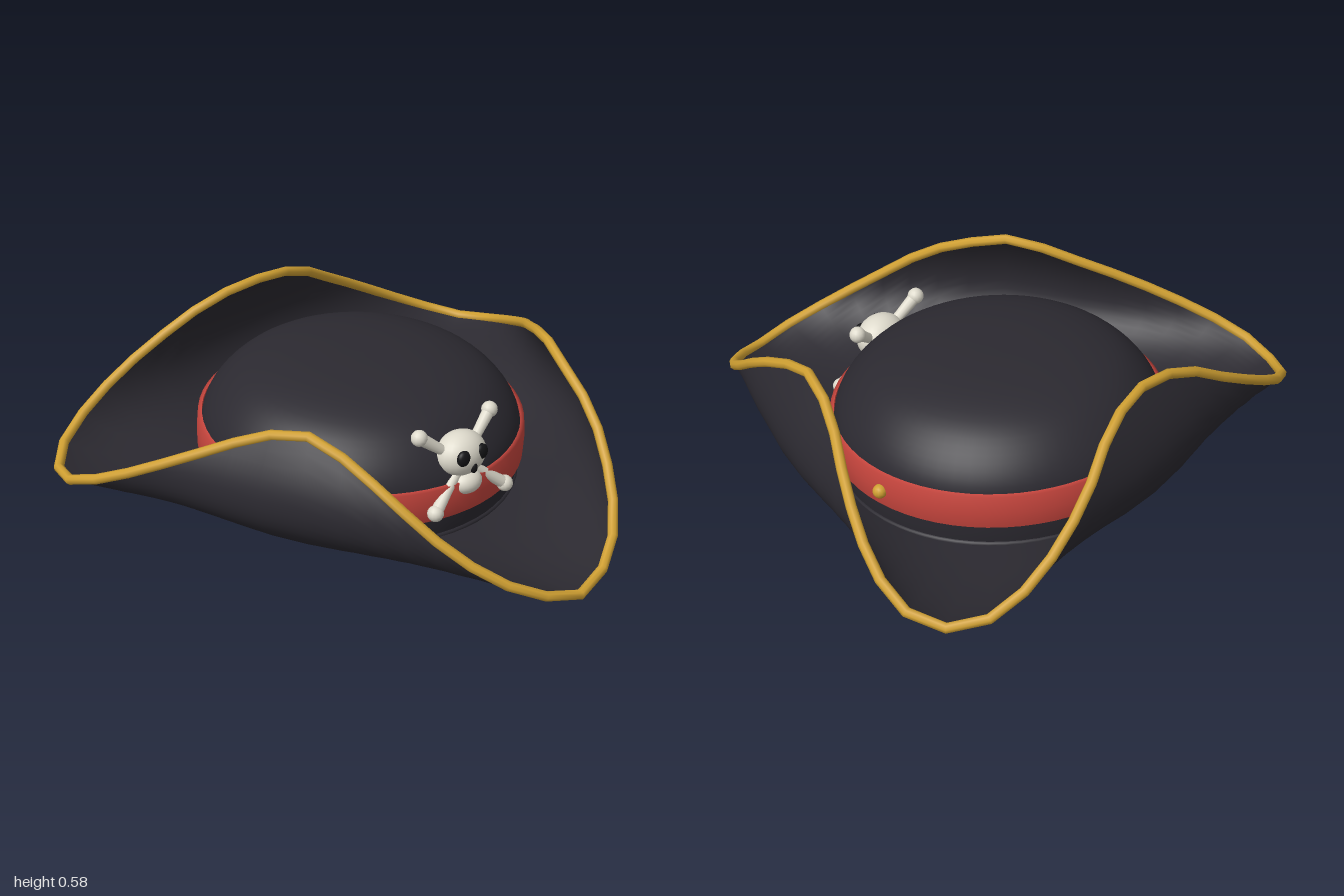
import * as THREE from 'three';

const mat = (color, side = THREE.FrontSide) =>
  new THREE.MeshStandardMaterial({ color, side });

const felt = mat(0x2b2930, THREE.DoubleSide);
const red = mat(0xc6453d, THREE.DoubleSide);
const gold = mat(0xd0a032);
const bone = mat(0xdedacc);
const black = mat(0x141416);

const CENTER_Z = -0.232, SLOPE = 0.061, RIM = 0.56;
const baseY = (z) => 0.05 - SLOPE * z; // tilted plane the hat sits on

function add(parent, name, geometry, material, x = 0, y = 0, z = 0) {
  const mesh = new THREE.Mesh(geometry, material);
  mesh.name = name;
  mesh.position.set(x, y, z);
  parent.add(mesh);
  return mesh;
}

// Closed curve of the brim edge: half of it, mirrored across x
function edgeCurve() {
  const half = [
    [0, 0.028, 0.9], [0.14, 0.065, 0.867], [0.27, 0.135, 0.78], [0.38, 0.245, 0.64],
    [0.46, 0.375, 0.47], [0.5, 0.462, 0.3], [0.555, 0.51, 0.135], [0.65, 0.455, -0.03],
    [0.8, 0.355, -0.22], [0.92, 0.257, -0.41], [0.982, 0.182, -0.59], [0.952, 0.152, -0.73],
    [0.86, 0.18, -0.84], [0.72, 0.25, -0.895], [0.56, 0.34, -0.905], [0.4, 0.43, -0.885],
    [0.2, 0.54, -0.83], [0, 0.575, -0.805],
  ].map((p) => new THREE.Vector3(...p));
  const mirrored = half.slice(1, -1).reverse().map((p) => new THREE.Vector3(-p.x, p.y, p.z));
  return new THREE.CatmullRomCurve3([...half, ...mirrored], true);
}

// Brim swept from the crown rim to the edge; the higher the edge, the fuller the fold
function brimGeometry(curve, around, rings) {
  const positions = [], index = [];
  for (let i = 0; i < around; i++) {
    const edge = curve.getPointAt(i / around);
    const dx = edge.x, dz = edge.z - CENTER_Z, r = Math.hypot(dx, dz);
    const at = (radius) => new THREE.Vector3(dx / r * radius, 0, CENTER_Z + dz / r * radius);
    const inner = at(RIM);
    inner.y = baseY(inner.z);
    const rise = Math.max(0, edge.y - baseY(edge.z));
    const fullness = 0.62 + 0.1 * dz / r; // tighter fold at the back
    const fold = at(RIM * 0.4 + r * 0.6 + fullness * rise);
    fold.y = baseY(fold.z) + 0.38 * rise - 0.03;
    const section = new THREE.QuadraticBezierCurve3(inner, fold, edge);
    for (let j = 0; j <= rings; j++) positions.push(...section.getPoint(j / rings).toArray());
  }
  const n = rings + 1;
  for (let i = 0; i < around; i++) {
    for (let j = 0; j < rings; j++) {
      const a = i * n + j, b = ((i + 1) % around) * n + j;
      index.push(a, a + 1, b, b, a + 1, b + 1);
    }
  }
  const g = new THREE.BufferGeometry();
  g.setAttribute('position', new THREE.Float32BufferAttribute(positions, 3));
  g.setIndex(index);
  g.computeVertexNormals();
  return g;
}

function buildCrown() {
  const crown = new THREE.Group();
  crown.name = 'crown';
  crown.position.set(0, baseY(CENTER_Z), CENTER_Z);
  crown.rotation.x = SLOPE;

  // Hollow dome
  const profile = new THREE.SplineCurve([
    [RIM, -0.005], [0.568, 0.06], [0.57, 0.16], [0.553, 0.235], [0.5, 0.31],
    [0.42, 0.372], [0.3, 0.413], [0.15, 0.433], [0, 0.437],
  ].map((p) => new THREE.Vector2(...p)));
  const points = profile.getPoints(28);
  points[points.length - 1].x = 0;
  add(crown, 'crownDome', new THREE.LatheGeometry(points, 64), felt);

  // Rolled lip around the head opening
  const lip = add(crown, 'openingLip', new THREE.TorusGeometry(RIM, 0.011, 8, 64), felt);
  lip.rotation.x = Math.PI / 2;

  // Ribbon with thickness, and a stud on each side
  const ribbon = [[0.573, 0.08], [0.583, 0.083], [0.585, 0.14], [0.581, 0.202], [0.567, 0.206]]
    .map((p) => new THREE.Vector2(...p));
  add(crown, 'hatBand', new THREE.LatheGeometry(ribbon, 64), red);
  for (const s of [-1, 1]) {
    add(crown, s > 0 ? 'leftStud' : 'rightStud',
      new THREE.SphereGeometry(0.025, 12, 8), gold, s * 0.587, 0.14, 0.045);
  }
  return crown;
}

function buildEmblem() {
  const emblem = new THREE.Group();
  emblem.name = 'skullAndBones';

  // Skull
  const ball = new THREE.SphereGeometry(1, 24, 16);
  add(emblem, 'cranium', ball, bone, 0, 0.313, 0.305).scale.set(0.097, 0.08, 0.078);
  add(emblem, 'jaw', ball, bone, 0, 0.215, 0.335).scale.set(0.06, 0.043, 0.05);
  for (const s of [-1, 1]) {
    add(emblem, s > 0 ? 'leftEye' : 'rightEye', ball, black, s * 0.04, 0.328, 0.366)
      .scale.set(0.027, 0.029, 0.018);
  }
  add(emblem, 'nose', ball, black, 0, 0.284, 0.372).scale.set(0.013, 0.022, 0.015);

  // Crossed bones, each with knobbed ends
  const up = new THREE.Vector3(0, 1, 0);
  for (const s of [-1, 1]) {
    const top = new THREE.Vector3(s * 0.16, 0.412, 0.275);
    const bottom = new THREE.Vector3(-s * 0.16, 0.157, 0.36);
    const dir = top.clone().sub(bottom);
    const mid = top.clone().add(bottom).multiplyScalar(0.5);
    const length = dir.length();
    const shaft = new THREE.LatheGeometry(
      [[0.023, -0.5], [0.019, -0.3], [0.018, 0], [0.019, 0.3], [0.023, 0.5]]
        .map(([r, h]) => new THREE.Vector2(r, h * length)), 12);
    add(emblem, 'boneShaft', shaft, bone, mid.x, mid.y, mid.z)
      .quaternion.setFromUnitVectors(up, dir.normalize());
    for (const p of [top, bottom]) {
      add(emblem, 'boneKnob', new THREE.SphereGeometry(0.029, 14, 10), bone, p.x, p.y, p.z);
    }
  }
  return emblem;
}

export function createModel() {
  const hat = new THREE.Group();
  hat.name = 'tricornHat';
  const curve = edgeCurve();
  const around = 48;
  add(hat, 'brim', brimGeometry(curve, around, 14), felt);
  add(hat, 'brimTrim', new THREE.TubeGeometry(curve, around, 0.018, 8, true), gold);
  hat.add(buildCrown(), buildEmblem());
  return hat;
}
